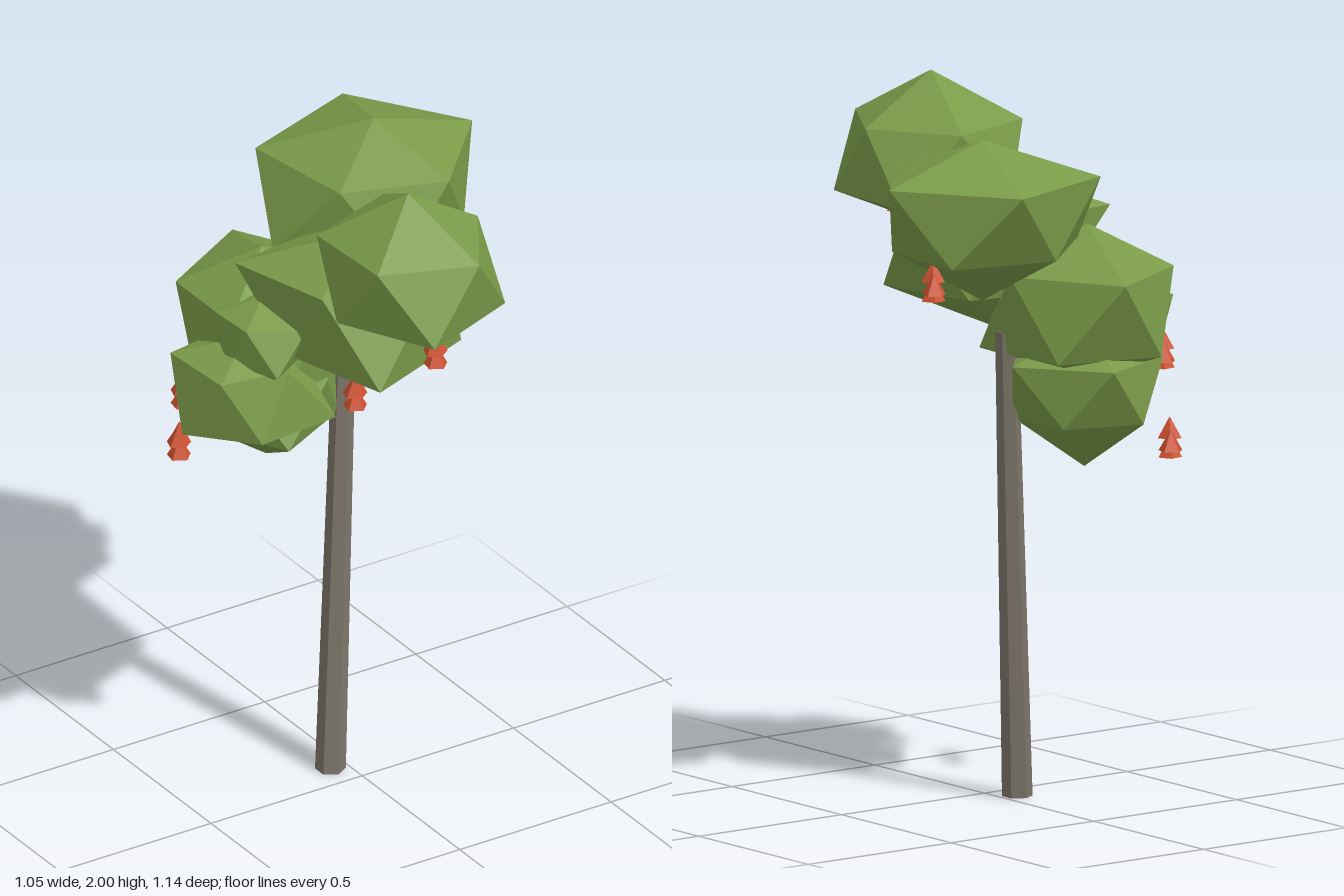
import * as THREE from 'three';

const leafMat = new THREE.MeshStandardMaterial({ color: 0x7a9b49, flatShading: true });
leafMat.name = 'leaf green';
const barkMat = new THREE.MeshStandardMaterial({ color: 0x7c7569, flatShading: true });
barkMat.name = 'bark grey';
const fruitMat = new THREE.MeshStandardMaterial({ color: 0xcf5230, flatShading: true });
fruitMat.name = 'fruit red';

// Twenty-sided clump: two poles and two five-point rings, each point with its own radius.
// heights: top, upper ring, lower ring, bottom
function clump(name, [cx, cz], heights, upperRadii, lowerRadii) {
  const ring = (radii, y, turn) => radii.map((r, i) => {
    const a = (i + turn) * Math.PI * 2 / 5;
    return new THREE.Vector3(cx + r * Math.cos(a), y, cz + r * Math.sin(a));
  });
  const top = new THREE.Vector3(cx, heights[0], cz);
  const u = ring(upperRadii, heights[1], 0);
  const l = ring(lowerRadii, heights[2], 0.5);
  const bottom = new THREE.Vector3(cx, heights[3], cz);
  const points = [];
  for (let i = 0; i < 5; i++) {
    const j = (i + 1) % 5;
    points.push(top, u[j], u[i], u[i], u[j], l[i], u[j], l[j], l[i], bottom, l[i], l[j]);
  }
  const geo = new THREE.BufferGeometry().setFromPoints(points);
  geo.computeVertexNormals();
  const mesh = new THREE.Mesh(geo, leafMat);
  mesh.name = name;
  return mesh;
}

// Three small pointed fruits hanging together
function fruitCluster([x, y, z], index) {
  const cluster = new THREE.Group();
  cluster.name = 'fruitCluster' + index;
  const offsets = [[-0.012, 0.025, 0.024], [0.024, 0, -0.028], [0, -0.025, 0.008]];
  offsets.forEach(([dx, dy, dz], i) => {
    const fruit = new THREE.Mesh(new THREE.ConeGeometry(0.035, 0.06, 5), fruitMat);
    fruit.name = 'fruit';
    fruit.position.set(dx, dy, dz);
    fruit.rotation.y = i * 0.7;
    cluster.add(fruit);
  });
  cluster.position.set(x, y, z);
  return cluster;
}

export function createModel() {
  const tree = new THREE.Group();
  tree.name = 'tree';

  // Leaning six-sided trunk, sheared so that its base stays level
  const trunkHeight = 1.34;
  const trunkGeo = new THREE.CylinderGeometry(0.032, 0.043, trunkHeight, 6);
  trunkGeo.translate(0, trunkHeight / 2, 0);
  const p = trunkGeo.attributes.position;
  for (let i = 0; i < p.count; i++) {
    const t = p.getY(i) / trunkHeight;
    p.setX(i, p.getX(i) - 0.05 + 0.095 * t);
    p.setZ(i, p.getZ(i) - 0.085 - 0.075 * t);
  }
  trunkGeo.computeVertexNormals();
  const trunk = new THREE.Mesh(trunkGeo, barkMat);
  trunk.name = 'trunk';
  tree.add(trunk);

  // Foliage
  tree.add(
    clump('frontTopFoliage', [-0.035, 0.29], [2, 1.86, 1.66, 1.56],
      [0.23, 0.255, 0.235, 0.255, 0.26], [0.27, 0.29, 0.235, 0.27, 0.3]),
    clump('backTopFoliage', [0.2, -0.25], [1.915, 1.81, 1.6, 1.46],
      [0.325, 0.27, 0.26, 0.33, 0.34], [0.25, 0.29, 0.335, 0.25, 0.29]),
    clump('middleFoliage', [-0.06, 0.03], [1.76, 1.655, 1.43, 1.31],
      [0.305, 0.28, 0.21, 0.32, 0.24], [0.31, 0.33, 0.2, 0.2, 0.25]),
    clump('backFoliage', [-0.18, -0.235], [1.63, 1.51, 1.28, 1.19],
      [0.27, 0.24, 0.24, 0.24, 0.32], [0.3, 0.24, 0.22, 0.25, 0.28]),
    clump('lowFoliage', [-0.15, -0.26], [1.36, 1.26, 1.09, 0.95],
      [0.25, 0.22, 0.2, 0.22, 0.25], [0.2, 0.25, 0.2, 0.2, 0.2]),
    clump('sideFoliage', [-0.32, -0.1], [1.45, 1.39, 1.2, 1.15],
      [0.15, 0.15, 0.19, 0.21, 0.17], [0.25, 0.18, 0.21, 0.17, 0.2]),
    clump('smallSideFoliage', [-0.28, -0.08], [1.57, 1.52, 1.4, 1.31],
      [0.1, 0.16, 0.12, 0.13, 0.18], [0.12, 0.17, 0.12, 0.18, 0.12]),
  );

  // Fruit
  [
    [-0.075, 1.62, 0.485],
    [-0.16, 1.38, 0.205],
    [0.415, 1.55, -0.315],
    [-0.375, 1.02, -0.365],
    [-0.43, 1.25, -0.26],
  ].forEach((at, i) => tree.add(fruitCluster(at, i + 1)));

  return tree;
}
